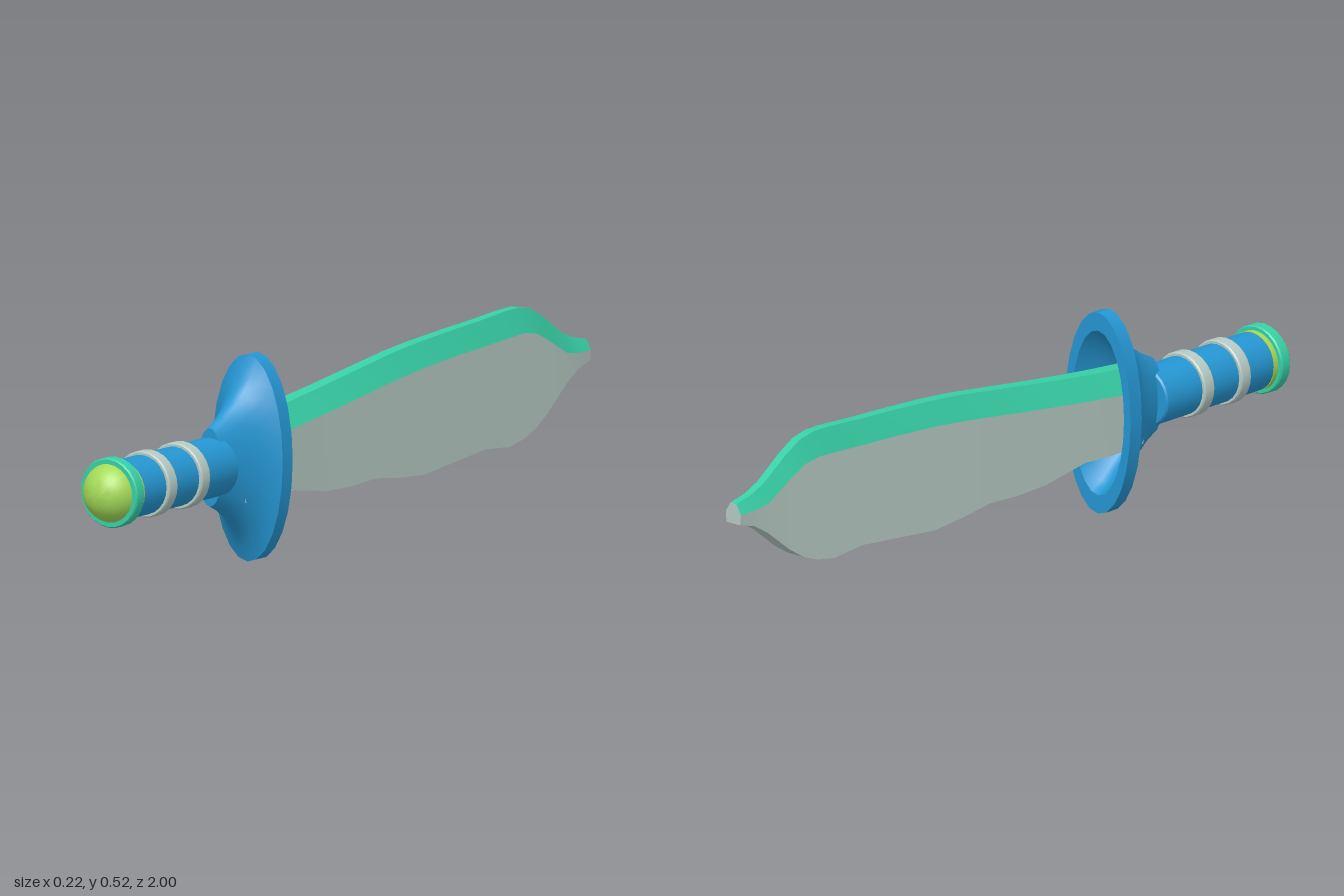
import * as THREE from 'three';
import { toCreasedNormals } from 'three/addons/utils/BufferGeometryUtils.js';

const AXIS_Y = 0.261;
const mat = (name, color) => {
  const m = new THREE.MeshStandardMaterial({ color });
  m.name = name;
  return m;
};

// Skins rows of [x, y, z] points; rows run towards -z, points counter-clockwise seen from +z
function loft(rows, crease = 0.5) {
  const n = rows[0].length, index = [];
  for (let i = 0; i < rows.length - 1; i++) {
    for (let j = 0; j < n - 1; j++) {
      const a = i * n + j, b = a + 1, c = a + n, d = c + 1;
      index.push(a, c, b, b, c, d);
    }
  }
  const g = new THREE.BufferGeometry();
  g.setAttribute('position', new THREE.Float32BufferAttribute(rows.flat(2), 3));
  g.setIndex(index);
  return toCreasedNormals(g, crease);
}

// Ellipse ring round the grip axis
function ellipse(z, rx, ry, sides = 24) {
  return Array.from({ length: sides + 1 }, (_, i) => {
    const t = ((i % sides) / sides) * Math.PI * 2;
    return [rx * Math.cos(t), AXIS_Y + ry * Math.sin(t), z];
  });
}

// Turned part along z from [radius, z] pairs, z rising
function turned(profile, crease = 0.5) {
  const g = new THREE.LatheGeometry(profile.map(([r, z]) => new THREE.Vector2(r, z)), 24);
  g.rotateX(Math.PI / 2);
  g.translate(0, AXIS_Y, 0);
  return toCreasedNormals(g, crease);
}

export function createModel() {
  const group = new THREE.Group();
  group.name = 'dagger';
  const blue = mat('blue', 0x2596d2);
  const green = mat('green', 0x38d0a6);
  const lime = mat('lime', 0xa4da58);
  const grey = mat('paleGrey', 0xb6cac3);
  const add = (name, geometry, material) => {
    const mesh = new THREE.Mesh(geometry, material);
    mesh.name = name;
    group.add(mesh);
  };

  // Blade stations: z, top edge, colour boundary, bottom edge
  const stations = [
    [0.45, 0.36, 0.3, 0.165], [0.335, 0.37, 0.312, 0.16], [0.24, 0.38, 0.322, 0.164],
    [0.1, 0.397, 0.338, 0.14], [0, 0.41, 0.35, 0.136], [-0.1, 0.423, 0.363, 0.14],
    [-0.2, 0.436, 0.375, 0.126], [-0.3, 0.445, 0.385, 0.117], [-0.45, 0.454, 0.394, 0.13],
    [-0.56, 0.459, 0.398, 0.14], [-0.66, 0.466, 0.403, 0.13], [-0.72, 0.467, 0.405, 0.14],
    [-0.77, 0.457, 0.397, 0.158], [-0.82, 0.43, 0.372, 0.188], [-0.9, 0.376, 0.327, 0.25],
    [-0.95, 0.355, 0.32, 0.28], [-1, 0.345, 0.32, 0.293],
  ];
  const halfWidth = (z) => THREE.MathUtils.mapLinear(z, 0.335, -1, 0.05, 0.025);
  const spineRow = ([z, top, mid]) => {
    const w = halfWidth(z), s = w * 0.4;
    return [[w, mid, z], [s, top, z], [-s, top, z], [-w, mid, z]];
  };
  const bodyRow = ([z, , mid, low]) => {
    const w = halfWidth(z), b = w * 0.9;
    return [[-w, mid, z], [-b, low, z], [b, low, z], [w, mid, z]];
  };
  add('bladeSpine', loft(stations.map(spineRow)), green);
  add('bladeBody', loft(stations.map(bodyRow)), grey);

  // Flat blade tip
  const tip = stations[stations.length - 1];
  const outline = [...spineRow(tip), ...bodyRow(tip)];
  add('bladeTip', loft([outline, outline.map(() => [0, 0.32, -1])]), grey);

  // Flared oval guard, hollow on the blade side: z, half width, half height
  const guardRings = [
    [0.53, 0, 0], [0.53, 0.038, 0.098], [0.49, 0.046, 0.118], [0.45, 0.058, 0.145],
    [0.415, 0.074, 0.18], [0.39, 0.092, 0.222], [0.376, 0.108, 0.259], [0.335, 0.108, 0.259],
    [0.335, 0.086, 0.212], [0.37, 0.078, 0.192], [0.41, 0.06, 0.15], [0.45, 0.045, 0.115],
    [0.46, 0, 0],
  ];
  add('guard', loft(guardRings.map((r) => ellipse(...r)), 0.6), blue);

  // Grip
  add('grip', turned([[0, 0.507], [0.07, 0.507], [0.074, 0.512], [0.074, 0.92], [0, 0.92]]), blue);

  // Grip bands and pommel collar
  const band = (z0, z1, r) => turned([
    [0.07, z0], [r - 0.003, z0], [r, z0 + 0.004], [r, z1 - 0.004], [r - 0.003, z1], [0.07, z1],
  ]);
  for (const z of [0.636, 0.77]) add('gripBand', band(z, z + 0.037, 0.083), grey);
  add('pommelCollar', band(0.912, 0.946, 0.087), green);
  add('pommelTrim', turned([[0.07, 0.897], [0.0755, 0.897], [0.0755, 0.915]]), lime);

  // Domed pommel
  const dome = Array.from({ length: 11 }, (_, i) => {
    const t = (i / 10) * Math.PI / 2;
    return [0.076 * Math.cos(t), 0.925 + 0.075 * Math.sin(t)];
  });
  add('pommel', turned(dome, 1), lime);

  return group;
}
